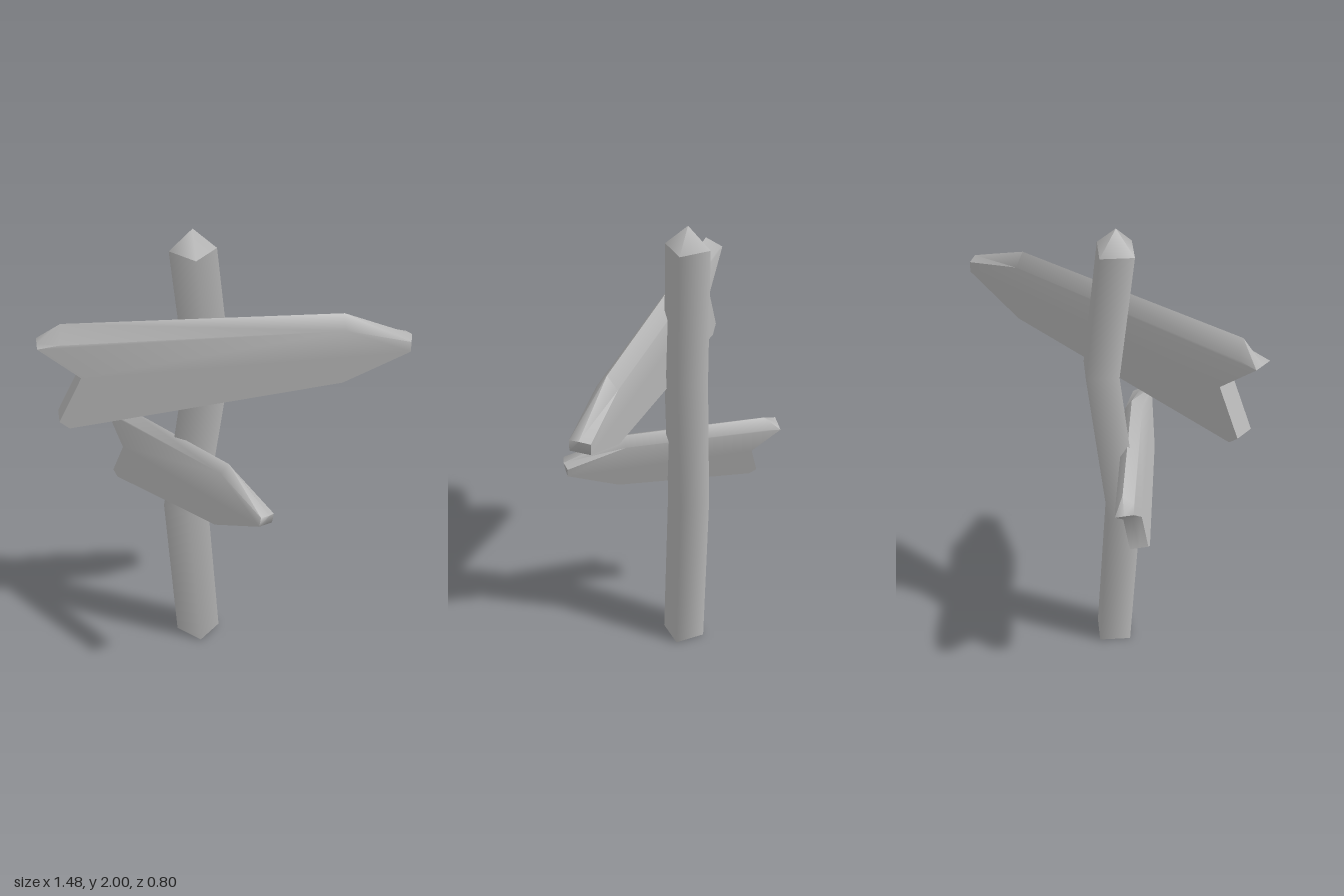
import * as THREE from 'three';
import { toCreasedNormals } from 'three/addons/utils/BufferGeometryUtils.js';

const grey = new THREE.MeshStandardMaterial({ color: 0xb4b4b4 });
grey.name = 'plain grey';

// Arrow board: an outline lofted through front, middle and back layers.
// Each point is [x, y, middleX?, middleY?]; the middle layer may bulge into a ridge.
function boardGeometry(points, thickness) {
  const layers = [thickness / 2, 0, -thickness / 2].map((z, k) =>
    points.map(([x, y, mx = x, my = y]) =>
      k === 1 ? [mx, my, z] : [x, y, z]));
  const pos = [];
  const tri = (a, b, c) => pos.push(...a, ...b, ...c);

  // front and back faces
  const flat = points.map(([x, y]) => new THREE.Vector2(x, y));
  for (const [a, b, c] of THREE.ShapeUtils.triangulateShape(flat, [])) {
    tri(layers[0][a], layers[0][b], layers[0][c]);
    tri(layers[2][a], layers[2][c], layers[2][b]);
  }
  // rim
  for (let k = 0; k < 2; k++) {
    for (let i = 0; i < points.length; i++) {
      const j = (i + 1) % points.length;
      const f = layers[k], b = layers[k + 1];
      tri(f[i], b[i], b[j]);
      tri(f[i], b[j], f[j]);
    }
  }
  const geo = new THREE.BufferGeometry();
  geo.setAttribute('position', new THREE.Float32BufferAttribute(pos, 3));
  geo.computeVertexNormals();
  return toCreasedNormals(geo, 1.2);
}

function addMesh(parent, name, geo) {
  const mesh = new THREE.Mesh(geo, grey);
  mesh.name = name;
  parent.add(mesh);
  return mesh;
}

export function createModel() {
  const group = new THREE.Group();
  group.name = 'signpost';

  // Crooked square post: rings [x, y, z] from the ground up
  const rings = [
    [-0.12, 0, -0.072],
    [-0.165, 0.7, -0.072],
    [-0.065, 1.36, -0.09],
    [-0.12, 1.91, -0.072],
  ];
  const radius = 0.093;
  const postGeo = new THREE.CylinderGeometry(radius, radius, 3, 4, 3);
  const p = postGeo.attributes.position;
  for (let i = 0; i < p.count; i++) {
    const [x, y, z] = rings[Math.round(p.getY(i) + 1.5)];
    p.setXYZ(i, p.getX(i) + x, y, p.getZ(i) + z);
  }
  addMesh(group, 'post', postGeo);

  // Pointed top of the post
  const tip = addMesh(group, 'postTip', new THREE.ConeGeometry(radius, 0.09, 4, 1, true));
  tip.position.set(-0.12, 1.955, -0.072);

  // Large upper arrow board
  const upper = addMesh(group, 'upperArrowBoard', boardGeometry([
    [-0.74, 1.61],
    [-0.58, 1.465],
    [-0.675, 1.27],
    [-0.637, 1.235],
    [0.455, 1.345],
    [0.725, 1.465],
    [0.725, 1.51, 0.737, 1.52],
    [0.46, 1.585, 0.46, 1.64],
    [-0.66, 1.62, -0.645, 1.69],
  ], 0.085));
  upper.position.z = 0.033;

  // Small lower arrow board, turned and leaning
  const lower = addMesh(group, 'lowerArrowBoard', boardGeometry([
    [-0.557, 0.09],
    [-0.44, -0.015],
    [-0.475, -0.14],
    [-0.445, -0.16],
    [0.14, -0.1],
    [0.365, 0.005],
    [0.365, 0.045, 0.375, 0.05],
    [0.12, 0.125, 0.12, 0.16],
    [-0.5, 0.1, -0.49, 0.14],
  ], 0.075));
  lower.rotation.set(-0.24, -0.942, 0, 'YXZ');
  lower.position.set(-0.117, 0.9, 0.085);

  return group;
}
